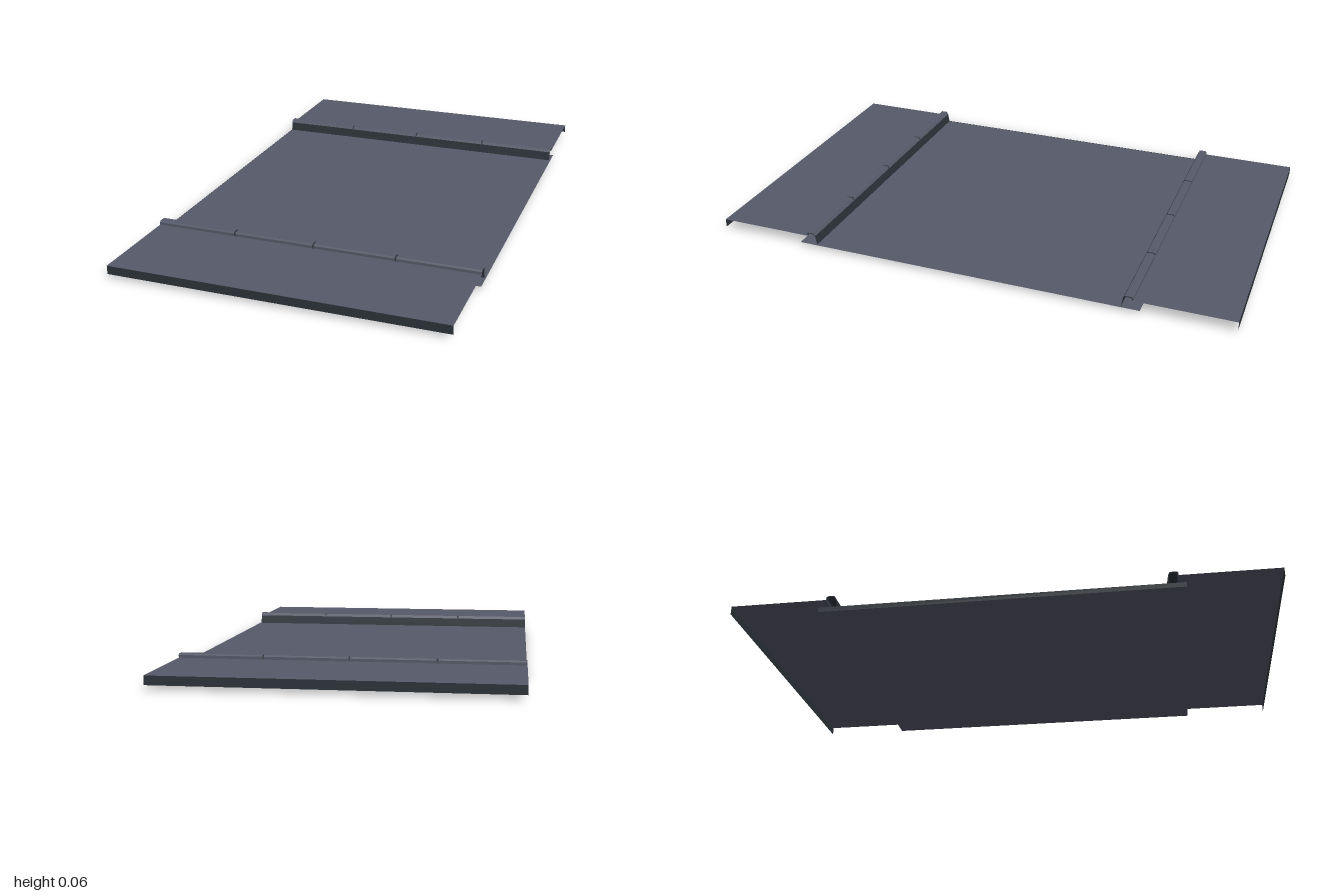
import * as THREE from 'three';

const slate = new THREE.MeshStandardMaterial({ color: 0x565968, side: THREE.DoubleSide });
slate.name = 'slate paving';
const dark = new THREE.MeshStandardMaterial({ color: 0x2c3339, side: THREE.DoubleSide });
dark.name = 'dark edging';

const X0 = -0.62, X1 = 0.615;

// Folded sheet: a [z, y] profile swept along x from x0 to x1
function sheet(name, profile, x0, x1, material) {
  const pos = [];
  for (let i = 0; i < profile.length - 1; i++) {
    const [za, ya] = profile[i], [zb, yb] = profile[i + 1];
    pos.push(x0, ya, za, x0, yb, zb, x1, yb, zb);
    pos.push(x0, ya, za, x1, yb, zb, x1, ya, za);
  }
  const geo = new THREE.BufferGeometry();
  geo.setAttribute('position', new THREE.Float32BufferAttribute(pos, 3));
  geo.computeVertexNormals();
  const mesh = new THREE.Mesh(geo, material);
  mesh.name = name;
  return mesh;
}

export function createModel() {
  const model = new THREE.Group();
  model.name = 'roadSection';

  // Roadway, running under both kerbs
  model.add(sheet('roadway', [[0.665, 0.017], [-0.665, 0.017]], X0, 0.62, slate));

  // Downturned strip along one end of the roadway
  const strip = new THREE.Mesh(new THREE.PlaneGeometry(1.33, 0.018), dark);
  strip.name = 'endStrip';
  strip.rotation.y = -Math.PI / 2;
  strip.position.set(X0, 0.009, 0);
  model.add(strip);

  for (const s of [1, -1]) {
    const side = new THREE.Group();
    side.name = s > 0 ? 'frontSide' : 'backSide';
    const p = (points) => points.map(([z, y]) => [z * s, y]);

    // Pavement and its outer lip
    side.add(sheet('pavement', p([[0.638, 0.048], [1, 0.048]]), X0, X1, slate));
    side.add(sheet('outerLip', p([[1, 0.048], [1, 0.016]]), X0, X1, dark));

    // Dark kerb wall facing the road
    side.add(sheet('kerbWall', p([[0.596, 0.017], [0.602, 0.052]]), X0, X1, dark));

    // Dark bed showing in the joints between the kerb stones
    side.add(sheet('kerbJointBed',
      p([[0.604, 0.05], [0.61, 0.059], [0.632, 0.059], [0.635, 0.048]]), X0, X1, dark));

    // Four kerb stones with narrow joints
    const length = (X1 - X0) / 4, gap = 0.003;
    for (let i = 0; i < 4; i++) {
      const a = X0 + i * length + (i > 0 ? gap : 0);
      const b = X0 + (i + 1) * length - (i < 3 ? gap : 0);
      side.add(sheet('kerbStone',
        p([[0.602, 0.052], [0.608, 0.063], [0.633, 0.063], [0.638, 0.058], [0.638, 0.048]]), a, b, slate));
    }
    model.add(side);
  }
  return model;
}
